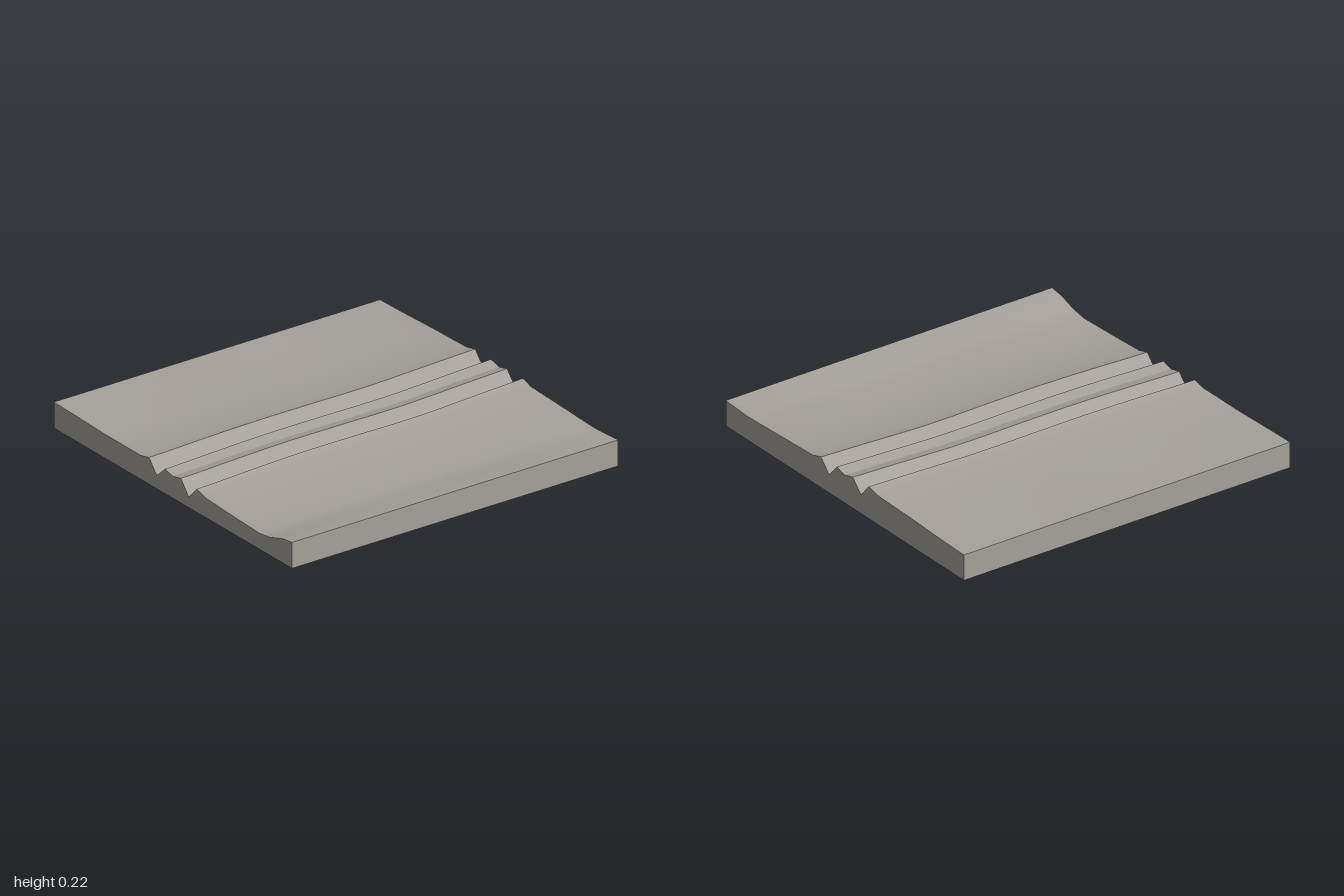
import * as THREE from 'three';
import { toCreasedNormals } from 'three/addons/utils/BufferGeometryUtils.js';

// Cross-section of the ground: [x, height at the front edge, height at the back edge]
const SECTION = [
  [-1, 0.18, 0.18], [-0.85, 0.177, 0.183], [-0.57, 0.169, 0.193], [-0.27, 0.168, 0.2],
  [-0.2, 0.184, 0.217], [-0.135, 0.11, 0.143], [-0.067, 0.172, 0.212], [0, 0.158, 0.195],
  [0.067, 0.172, 0.212], [0.133, 0.096, 0.14], [0.2, 0.165, 0.21], [0.27, 0.145, 0.19],
  [0.5, 0.134, 0.182], [0.73, 0.125, 0.172], [0.82, 0.138, 0.17], [0.92, 0.17, 0.175], [1, 0.18, 0.18],
];
// How the ground rises from front (0) to back (1)
const RISE = [[1, 0], [0.89, 0.06], [0.71, 0.24], [0.54, 0.38], [0.3, 0.49], [0, 0.46],
  [-0.2, 0.4], [-0.4, 0.43], [-0.6, 0.63], [-0.75, 0.78], [-1, 1]];
const BASE_Y = 0.037;

function rise(z) {
  for (let i = 1; i < RISE.length; i++) {
    const [z0, r0] = RISE[i - 1], [z1, r1] = RISE[i];
    if (z >= z1) return THREE.MathUtils.lerp(r0, r1, (z0 - z) / (z0 - z1));
  }
  return 1;
}

export function createModel() {
  const group = new THREE.Group();
  group.name = 'ruttedGroundTile';
  const earth = new THREE.MeshStandardMaterial({ color: 0xa5a19a });
  earth.name = 'earth';

  // Slab whose top follows the rutted cross-section
  const columns = SECTION.length - 1;
  const slab = new THREE.BoxGeometry(2, 1, 2, columns, 1, 32);
  const pos = slab.attributes.position;
  for (let i = 0; i < pos.count; i++) {
    const [x, front, back] = SECTION[Math.round((pos.getX(i) + 1) / 2 * columns)];
    const y = pos.getY(i) > 0 ? THREE.MathUtils.lerp(front, back, rise(pos.getZ(i))) : BASE_Y;
    pos.setX(i, x);
    pos.setY(i, y);
  }
  const ground = new THREE.Mesh(toCreasedNormals(slab, 0.4), earth);
  ground.name = 'ground';
  group.add(ground);

  // Two rows of tread blocks sunk beneath the ruts
  const block = new THREE.BoxGeometry(0.08, 0.02, 0.036);
  for (const [name, x, low] of [['leftTreadBlocks', 0.123, -0.003], ['rightTreadBlocks', -0.13, 0.009]]) {
    const row = new THREE.Group();
    row.name = name;
    for (let i = 0; i < 20; i++) {
      const z = 0.89 - i * 0.0865;
      const mesh = new THREE.Mesh(block, earth);
      mesh.name = 'treadBlock';
      mesh.position.set(x, low + 0.01 + rise(z) * (0.05 - low), z);
      row.add(mesh);
    }
    group.add(row);
  }
  return group;
}
